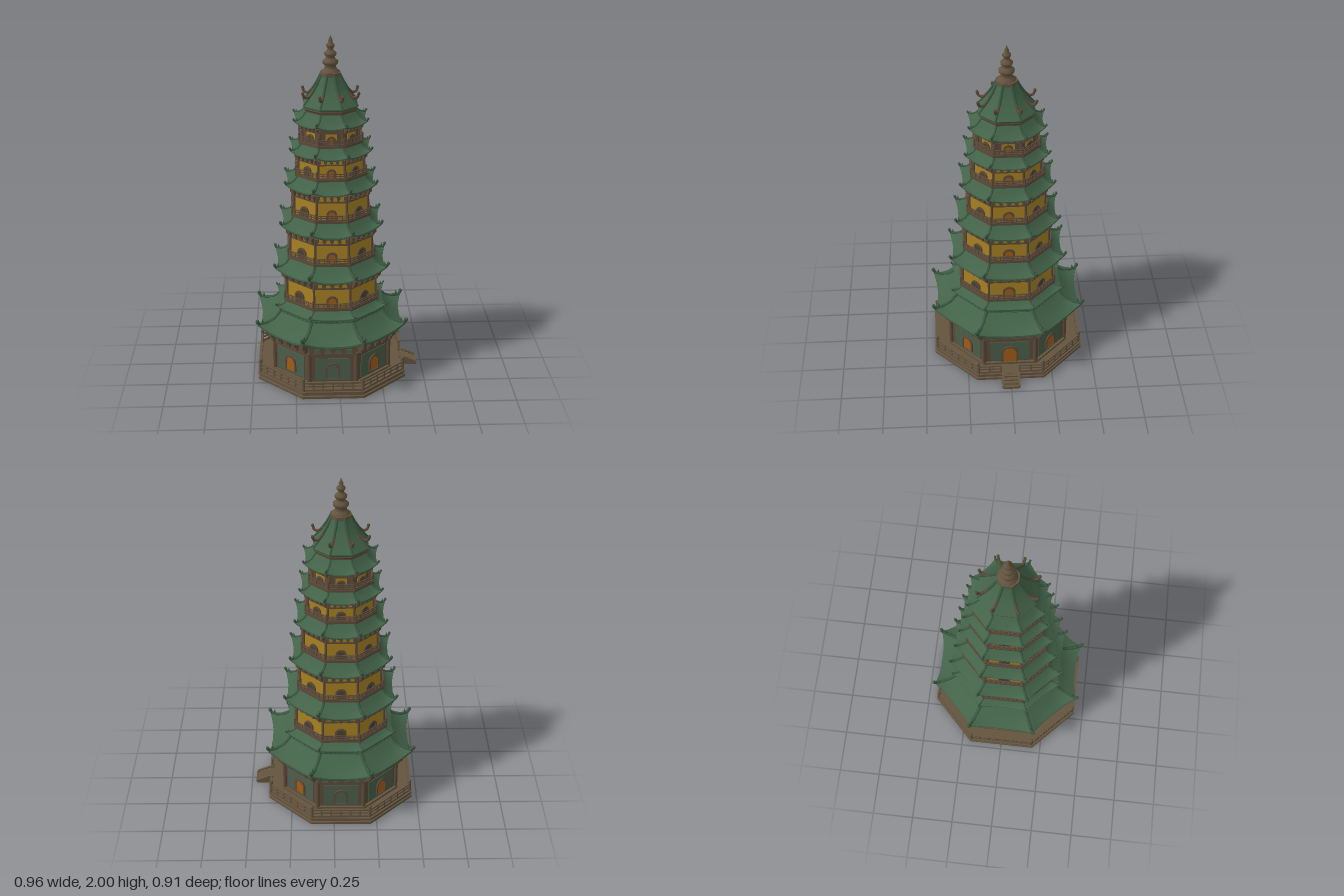
import * as THREE from 'three';
import { toCreasedNormals } from 'three/addons/utils/BufferGeometryUtils.js';

const mat = (name, color) => Object.assign(new THREE.MeshStandardMaterial({ color }), { name });
const M = {
  tile: mat('green tile', 0x436349),
  ridge: mat('dark green', 0x3b5841),
  panel: mat('green plaster', 0x4c5f4b),
  stone: mat('brown stone', 0x64543f),
  wood: mat('brown wood', 0x5c4a3a),
  yellow: mat('yellow plaster', 0xa98221),
  orange: mat('orange door', 0xa35c14),
  dark: mat('dark niche', 0x4a4030),
};

// Octagon corners, counter-clockwise from above, starting at the front left side
const C = [[.4, 1.02], [.985, .455], [.985, -.455], [.4, -1.02],
  [-.4, -1.02], [-.985, -.455], [-.985, .455], [-.4, 1.02]];
const SIDES = C.map((a, i) => {
  const b = C[(i + 1) % 8], dx = b[0] - a[0], dz = b[1] - a[1], len = Math.hypot(dx, dz);
  const n = [-dz / len, dx / len];
  return { len, angle: Math.atan2(n[0], n[1]), dist: a[0] * n[0] + a[1] * n[1] };
});

function add(parent, name, geo, material, x = 0, y = 0, z = 0) {
  const m = new THREE.Mesh(geo, material);
  m.name = name;
  m.position.set(x, y, z);
  parent.add(m);
  return m;
}
const box = (p, name, m, w, h, d, x, y, z) => add(p, name, new THREE.BoxGeometry(w, h, d), m, x, y, z);

// Sweep a profile of [radius, y, lift weight] round the octagon; corners rise by lift
function ring(parent, name, material, profile, lift = 0) {
  const n = lift ? 10 : 1, pos = [];
  const at = (i, u, [r, y, w = 0]) => {
    const a = C[i], b = C[(i + 1) % 8], k = lift ? w * Math.abs(2 * u - 1) ** 3 : 0, s = r * (1 + .05 * k);
    return [(a[0] + (b[0] - a[0]) * u) * s, y + lift * k, (a[1] + (b[1] - a[1]) * u) * s];
  };
  for (let i = 0; i < 8; i++) for (let j = 0; j < n; j++) for (let k = 0; k < profile.length - 1; k++) {
    const p = profile[k], q = profile[k + 1], u = j / n, v = (j + 1) / n;
    const a = at(i, u, p), b = at(i, v, p), c = at(i, v, q), d = at(i, u, q);
    pos.push(...a, ...b, ...c, ...a, ...c, ...d);
  }
  const g = new THREE.BufferGeometry();
  g.setAttribute('position', new THREE.Float32BufferAttribute(pos, 3));
  return add(parent, name, toCreasedNormals(g, .5), material);
}
const slab = (p, name, m, r, y0, y1) => ring(p, name, m, [[.001, y0], [r, y0], [r, y1], [.001, y1]]);

// A group on each side, with z = 0 on the wall face at radius r
function eachSide(parent, name, r, build) {
  SIDES.forEach((s, i) => {
    const g = new THREE.Group();
    g.name = name;
    g.rotation.y = s.angle;
    parent.add(g);
    build(g, s.dist * r, s.len * r, i);
  });
}
const eachCorner = (r, f) => C.forEach(([x, z]) => f(x * r, z * r));

function archShape(w, h) {
  const s = new THREE.Shape();
  s.moveTo(-w / 2, 0);
  s.lineTo(w / 2, 0);
  s.lineTo(w / 2, h - w / 2);
  s.absarc(0, h - w / 2, w / 2, 0, Math.PI);
  s.closePath();
  return s;
}
const plate = (shape, depth) => new THREE.ExtrudeGeometry(shape, { depth, bevelEnabled: false, curveSegments: 10 });

// Arched opening: raised rim round a thin coloured plate
function arch(g, z, y, w, h, fill) {
  const rim = archShape(w + .022, h + .011);
  rim.holes.push(new THREE.Path(archShape(w, h).getPoints(10)));
  add(g, 'archRim', plate(rim, .009), M.wood, 0, y, z);
  add(g, 'archPlate', plate(archShape(w, h), .003), fill, 0, y, z);
}

function railing(parent, r, y, h, material, gap = -1) {
  const t = h * .14;
  eachSide(parent, 'railing', r, (g, z, len, i) => {
    const spans = i === gap ? [[-len / 2, -.055], [.055, len / 2]] : [[-len / 2, len / 2]];
    for (const [a, b] of spans) {
      const w = b - a, c = (a + b) / 2, n = Math.max(2, Math.round(w / (h * .9)));
      box(g, 'topRail', material, w, t, t * 1.3, c, y + h * .85, z);
      box(g, 'midRail', material, w, t, t, c, y + h * .5, z);
      box(g, 'bottomRail', material, w, t * 1.4, t, c, y + t * .7, z);
      for (let k = 0; k <= n; k++) box(g, 'baluster', material, t, h * .9, t, a + w * k / n, y + h * .45, z);
    }
  });
  eachCorner(r, (x, z) => {
    add(parent, 'cornerPost', new THREE.CylinderGeometry(t, t, h * 1.15, 8), material, x, y + h * .575, z);
    add(parent, 'postCap', new THREE.SphereGeometry(t * 1.25, 8, 6), material, x, y + h * 1.22, z);
  });
}

// Eave brackets: stepped blocks under the soffit
function brackets(parent, r, y, h, reach) {
  eachSide(parent, 'brackets', r, (g, z, len) => {
    for (let k = 0; k < 5; k++) {
      const x = (k / 4 - .5) * len * .9, w = len * .065;
      box(g, 'lowerBracket', M.wood, w, h * .5, reach * .5, x, y + h * .3, z + reach * .2);
      box(g, 'upperBracket', M.wood, w * 1.7, h * .5, reach * .85, x, y + h * .75, z + reach * .35);
    }
  });
}

function roof(parent, wallR, r, y, topR, topY, lift) {
  const e = lift * .45, mid = (f, g) => [r + (topR - r) * f, y + e + (topY - y - e) * g, (1 - f) ** 2];
  ring(parent, 'soffit', M.wood, [[wallR - .01, y - .004, 0], [r - .004, y, 1]], lift);
  ring(parent, 'tileRoof', M.tile,
    [[r - .004, y, 1], [r, y + e * .3, 1], [r, y + e, 1], mid(.3, .2), mid(.65, .52), [topR, topY, 0]], lift);
  // Hip ridges curl up at the corner tips
  const R = lift * .24 + .0012, tip = y + e + lift;
  C.forEach(([cx, cz]) => {
    const path = [[topR, topY], mid(.65, .56), [mid(.3, 0)[0] * 1.02, mid(.3, .2)[1] + lift * .5],
      [r * 1.035, tip], [r * 1.06, tip + lift * .5]];
    const curve = new THREE.CatmullRomCurve3(path.map(([a, b]) => new THREE.Vector3(cx * a, b, cz * a)));
    add(parent, 'hipRidge', new THREE.TubeGeometry(curve, 14, R, 6), M.ridge);
    add(parent, 'ridgeTip', new THREE.SphereGeometry(R * 1.1, 7, 5), M.ridge, cx * r * 1.06, tip + lift * .5, cz * r * 1.06);
    const q = curve.getPoint(.62);
    add(parent, 'ridgeFigure', new THREE.ConeGeometry(R * .9, R * 3, 6), M.ridge, q.x, q.y + R * 1.8, q.z);
  });
}

export function createModel() {
  const model = new THREE.Group();
  model.name = 'pagoda';
  const P = new THREE.Group();
  P.name = 'tower';
  P.position.x = -.04;
  model.add(P);

  // Stone platform with balustrade and steps on the left side
  ring(P, 'platform', M.stone, [[.001, 0], [.437, 0], [.437, .014], [.43, .018], [.43, .03], [.437, .034], [.437, .042], [.001, .042]]);
  railing(P, .422, .042, .062, M.stone, 1);
  for (let k = 0; k < 4; k++) box(P, 'step', M.stone, .024, .04 - k * .009, .09, .437 + k * .022, .02 - k * .0045, 0);
  const stringer = new THREE.Shape([[.405, 0], [.51, 0], [.51, .018], [.495, .026], [.43, .052], [.405, .052]].map(p => new THREE.Vector2(...p)));
  for (const z of [-.053, .041]) add(P, 'stairSide', plate(stringer, .012), M.stone, 0, 0, z);

  // Ground floor
  slab(P, 'plinth', M.stone, .352, .04, .056);
  slab(P, 'groundWall', M.wood, .337, .05, .3);
  eachCorner(.337, (x, z) => add(P, 'pillar', new THREE.CylinderGeometry(.013, .013, .2, 10), M.wood, x, .14, z));
  eachSide(P, 'groundSide', .337, (g, z, len, i) => {
    box(g, 'greenPanel', M.panel, len * .76, .14, .006, 0, .135, z + .001);
    if (i === 1) arch(g, z + .003, .05, .078, .115, M.orange);
    else arch(g, z + .003, .08, .062, .085, i % 2 ? M.panel : M.orange);
    box(g, 'lintel', M.wood, len, .02, .012, 0, .225, z);
    box(g, 'frieze', M.panel, len * .92, .022, .006, 0, .25, z + .001);
  });
  brackets(P, .337, .235, .065, .065);
  roof(P, .337, .412, .298, .3, .408, .038);

  // Green skirt roof below the first balcony
  slab(P, 'skirtWall', M.tile, .292, .39, .43);
  railing(P, .3, .4, .035, M.ridge);
  roof(P, .28, .308, .422, .262, .468, .018);

  // Upper storeys: wall radius, bottom, eave height, eave radius, roof top radius and height, balcony radius
  const tiers = [
    [.258, .47, .648, .312, .24, .735, .272, .03],
    [.235, .735, .905, .276, .215, .985, .25, .028],
    [.21, .985, 1.147, .247, .19, 1.222, .224, .025],
    [.183, 1.222, 1.345, .219, .166, 1.408, .2, .022],
    [.158, 1.408, 1.513, .197, .14, 1.585, .178, .02],
  ];
  tiers.forEach(([r, y0, eave, re, rt, yt, rb, lift], t) => {
    const T = new THREE.Group();
    T.name = 'storey' + (t + 2);
    P.add(T);
    const h = eave - y0, base = y0 + .016, last = t === 4;
    slab(T, 'balconyFloor', M.wood, rb + .006, y0 + .002, base);
    railing(T, rb, base, .034, M.wood);
    slab(T, 'wall', last ? M.wood : M.yellow, r, base, eave + .01);
    eachCorner(r, (x, z) => add(T, 'pillar', new THREE.CylinderGeometry(.007, .007, h, 8), M.wood, x, y0 + h / 2, z));
    eachSide(T, 'storeySide', r, (g, z, len, i) => {
      const w = len * .22;
      if (last) box(g, 'yellowPanel', M.yellow, len * .5, h * .4, .004, 0, base + h * .42, z);
      arch(g, z + .001, base, w, Math.min(w * 1.35, h * .5), i === 7 || i === 1 ? M.orange : M.dark);
      box(g, 'lintel', M.wood, len, h * .06, .008, 0, eave - h * .25, z);
    });
    brackets(T, r, eave - h * .24, h * .24, (re - r) * .8);
    roof(T, r, re, eave, rt, yt, lift);
  });

  // Crowning storey and steep top roof
  slab(P, 'topWall', M.wood, .14, 1.575, 1.615);
  ring(P, 'topCornice', M.stone, [[.135, 1.585], [.148, 1.6], [.148, 1.61], [.1, 1.612]]);
  ring(P, 'topSoffit', M.wood, [[.1, 1.612], [.15, 1.608]]);
  ring(P, 'topRoof', M.tile, [[.15, 1.608], [.153, 1.618], [.13, 1.645], [.1, 1.685], [.074, 1.73], [.052, 1.785], [.001, 1.787]]);
  C.forEach(([x, z]) => {
    const path = (pts) => new THREE.CatmullRomCurve3(pts.map(([r, y]) => new THREE.Vector3(x * r, y, z * r)));
    add(P, 'topRidge', new THREE.TubeGeometry(path([[.05, 1.785], [.074, 1.735], [.1, 1.69]]), 10, .008, 6), M.ridge);
    add(P, 'topRidgeHorn', new THREE.TubeGeometry(path([[.1, 1.69], [.125, 1.664], [.148, 1.668], [.156, 1.69]]), 10, .008, 6), M.wood);
    add(P, 'hornTip', new THREE.SphereGeometry(.009, 7, 5), M.wood, x * .156, 1.69, z * .156);
    add(P, 'lowerRidge', new THREE.TubeGeometry(path([[.12, 1.66], [.153, 1.618]]), 4, .006, 6), M.ridge);
  });

  // Finial
  slab(P, 'finialBase', M.stone, .057, 1.775, 1.795);
  const finial = [[.05, 1.79], [.052, 1.8], [.036, 1.812], [.03, 1.83], [.042, 1.842], [.044, 1.856], [.03, 1.868], [.022, 1.878],
    [.033, 1.89], [.034, 1.902], [.02, 1.914], [.015, 1.926], [.024, 1.938], [.023, 1.948], [.011, 1.96], [.013, 1.97], [.006, 1.985], [.0005, 2]];
  add(P, 'finial', new THREE.LatheGeometry(finial.map(p => new THREE.Vector2(...p)), 20), M.stone);
  return model;
}
